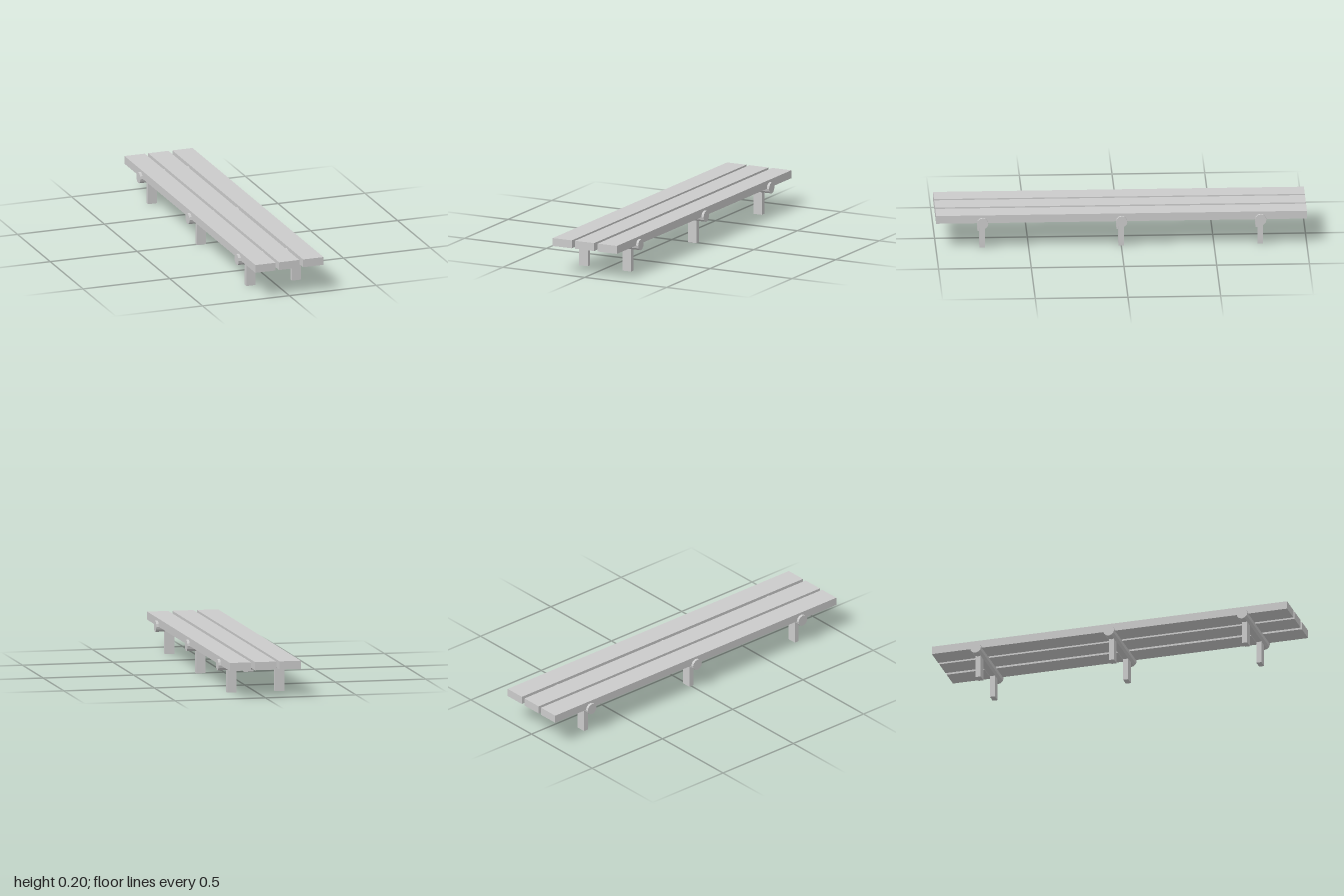
import * as THREE from 'three';

export function createModel() {
  const group = new THREE.Group();
  const material = new THREE.MeshStandardMaterial({ color: 0xcccccc, flatShading: true });

  function add(name, geometry, x, y, z) {
    const mesh = new THREE.Mesh(geometry, material);
    mesh.name = name;
    mesh.position.set(x, y, z);
    group.add(mesh);
  }

  // Three long seat planks
  const plank = new THREE.BoxGeometry(0.117, 0.044, 2);
  [['rightPlank', -0.137], ['middlePlank', -0.001], ['leftPlank', 0.138]]
    .forEach(([name, x]) => add(name, plank, x, 0.174, 0));

  // Round cross bars, each on two short legs
  const bar = new THREE.CylinderGeometry(0.031, 0.031, 0.42, 12).rotateZ(Math.PI / 2);
  const leg = new THREE.BoxGeometry(0.052, 0.125, 0.028);
  [['back', -0.75], ['middle', 0], ['front', 0.75]].forEach(([place, z]) => {
    add(place + 'CrossBar', bar, 0, 0.152, z);
    add(place + 'RightLeg', leg, -0.133, 0.0625, z);
    add(place + 'LeftLeg', leg, 0.131, 0.0625, z);
  });

  return group;
}
